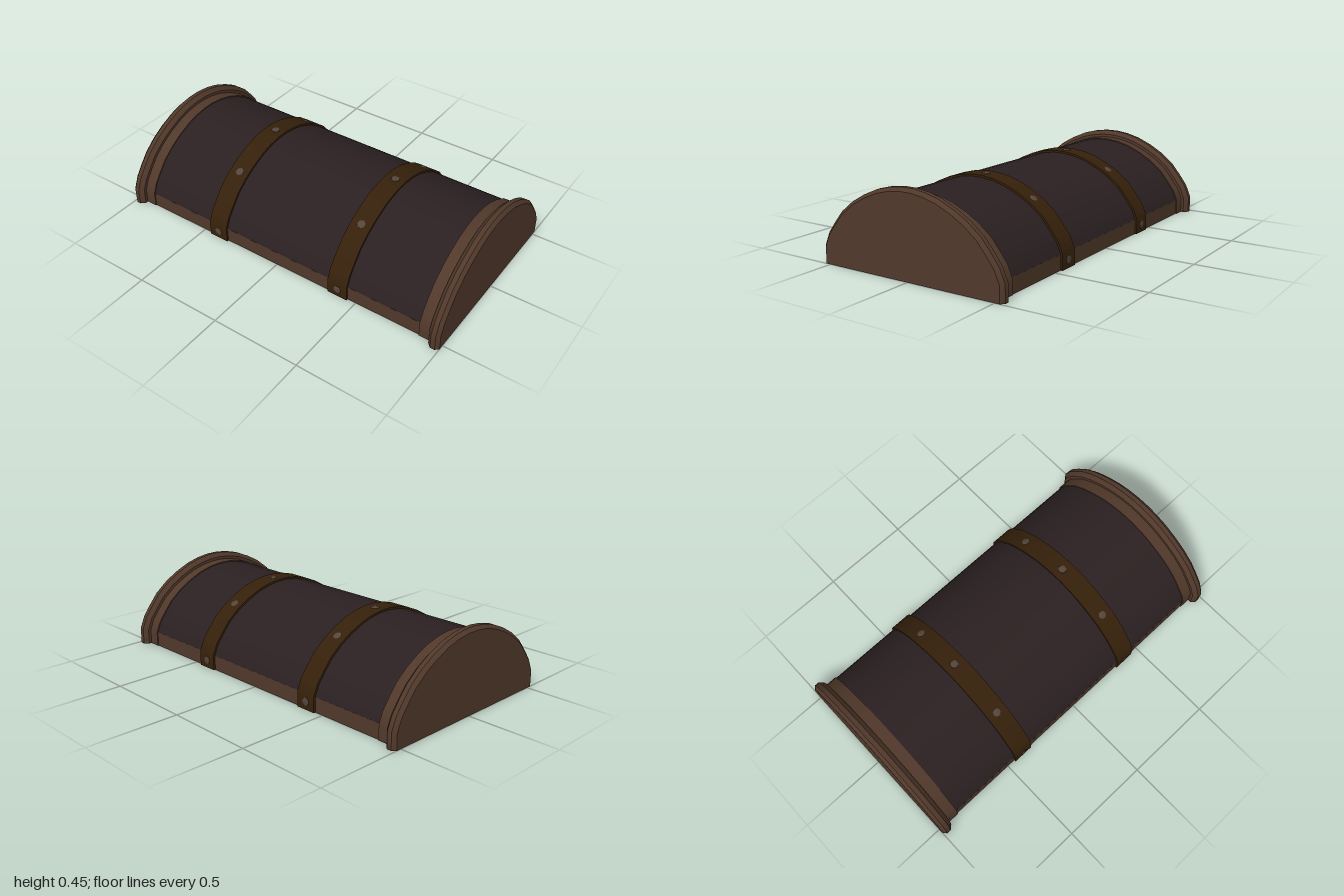
import * as THREE from 'three';
import { toCreasedNormals } from 'three/addons/utils/BufferGeometryUtils.js';

// Right half of the arch, from the base to the crown
const HALF = [[0.545, 0], [0.545, 0.09], [0.515, 0.16], [0.47, 0.22], [0.42, 0.28],
  [0.345, 0.34], [0.27, 0.383], [0.185, 0.42], [0.11, 0.44], [0.035, 0.45]];
const ARCH = [...HALF, ...HALF.slice().reverse().map(([x, y]) => [-x, y])];

// Arch moved inward by d, with mitred corners
function inset(d) {
  const normal = (a, b) => new THREE.Vector2(b[1] - a[1], a[0] - b[0]).normalize();
  return ARCH.map((p, i) => {
    if (i === 0 || i === ARCH.length - 1) return [p[0] - Math.sign(p[0]) * d, 0];
    const n1 = normal(ARCH[i - 1], p), n2 = normal(p, ARCH[i + 1]);
    const m = n1.clone().add(n2).normalize();
    const k = d / m.dot(n1);
    return [p[0] - m.x * k, p[1] - m.y * k];
  });
}

// Surface through rows of points, skipping collapsed triangles
function surface(rows) {
  const out = [];
  const tri = (a, b, c) => {
    const area = b.clone().sub(a).cross(c.clone().sub(a)).length();
    if (area > 1e-8) for (const p of [a, b, c]) out.push(p.x, p.y, p.z);
  };
  for (let i = 0; i < rows.length - 1; i++) {
    for (let j = 0; j < rows[i].length - 1; j++) {
      const a = rows[i][j], b = rows[i + 1][j], c = rows[i + 1][j + 1], d = rows[i][j + 1];
      tri(a, b, d);
      tri(b, c, d);
    }
  }
  const geo = new THREE.BufferGeometry();
  geo.setAttribute('position', new THREE.Float32BufferAttribute(out, 3));
  return toCreasedNormals(geo, 0.5);
}

// Curved slab: rectangular section swept over the arch, closed at both feet
function archSlab(z0, z1, outer, inner, skip = 0) {
  const section = [[z1, outer], [z0, outer], [z0, inner], [z1, inner], [z1, outer]];
  const rows = section.map(([z, d]) => inset(d).slice(skip, ARCH.length - skip)
    .map(([x, y]) => new THREE.Vector3(x, y, z)));
  const middle = (j) => rows.slice(0, 4)
    .reduce((s, r) => s.add(r[j]), new THREE.Vector3()).multiplyScalar(0.25);
  const start = middle(0), end = middle(rows[0].length - 1);
  return surface(rows.map((r) => [start, ...r, end]));
}

// Thick body: arched outside, upright inner walls under a shallow vaulted ceiling
function bodyShell() {
  const points = inset(0.054);
  points.push([-0.475, 0]);
  for (let i = -8; i <= 8; i++) points.push([0.475 * i / 8, 0.1 + 0.11 * (1 - (i / 8) ** 2)]);
  points.push([0.475, 0]);
  const shape = new THREE.Shape(points.map(([x, y]) => new THREE.Vector2(x, y)));
  const geo = new THREE.ExtrudeGeometry(shape, { depth: 1.88, bevelEnabled: false });
  return toCreasedNormals(geo.translate(0, 0, -0.94), 0.4);
}

// Solid end board with chamfered rim
function endBoard() {
  const rings = [[1, 0.018], [0.982, 0], [0.957, 0], [0.935, 0.022]].map(([z, d]) => {
    const p = inset(d);
    return [...p, p[0]].map(([x, y]) => new THREE.Vector3(x, y, z));
  });
  const centre = (z) => rings[0].map(() => new THREE.Vector3(0, 0.15, z));
  return surface([centre(1), ...rings, centre(0.935)]);
}

export function createModel() {
  const material = (name, color) => {
    const m = new THREE.MeshStandardMaterial({ color });
    m.name = name;
    return m;
  };
  const wood = material('brown wood', 0x50382a);
  const leather = material('dark panel', 0x2b2021);
  const brass = material('dark brass', 0x35200a);
  const stud = material('rivet metal', 0x54453a);

  const model = new THREE.Group();
  model.name = 'chestLid';
  const add = (name, geo, mat, parent = model) => {
    const mesh = new THREE.Mesh(geo, mat);
    mesh.name = name;
    parent.add(mesh);
    return mesh;
  };

  // Wooden body and the dark covering set into its frame
  add('shell', bodyShell(), wood);
  add('coverPanel', archSlab(-0.875, 0.875, 0.044, 0.058, 1), leather);

  // Bottom rails along both sides
  for (const side of [1, -1]) {
    const rail = add('sideRail', new THREE.BoxGeometry(0.024, 0.082, 1.88), wood);
    rail.position.set(side * 0.489, 0.041, 0);
  }

  // End boards and the frame arches next to them
  for (const turn of [0, Math.PI]) {
    const end = new THREE.Group();
    end.name = 'end';
    end.rotation.y = turn;
    add('endBoard', endBoard(), wood, end);
    add('frameArch', archSlab(0.872, 0.94, 0.038, 0.06), wood, end);
    model.add(end);
  }

  // Metal bands with low domed rivets: x, y, outward angle
  const slope = (x) => 0.3205 + (0.31 - Math.abs(x)) * 0.573;
  const dome = new THREE.SphereGeometry(0.023, 12, 8).scale(1, 0.22, 1);
  for (const [z, xRight, xLeft] of [[0.393, -0.298, 0.305], [-0.393, -0.305, 0.292]]) {
    const band = new THREE.Group();
    band.name = 'band';
    add('strap', archSlab(z - 0.058, z + 0.058, 0.033, 0.056), brass, band);
    const rivets = [[0.512, 0.043, 0], [xLeft, slope(xLeft), 1.05], [0.018, 0.417, Math.PI / 2],
      [xRight, slope(xRight), Math.PI - 1.05], [-0.512, 0.043, Math.PI]];
    for (const [x, y, angle] of rivets) {
      const rivet = add('rivet', dome, stud, band);
      rivet.position.set(x, y, z);
      rivet.rotation.z = angle - Math.PI / 2;
    }
    model.add(band);
  }
  return model;
}
